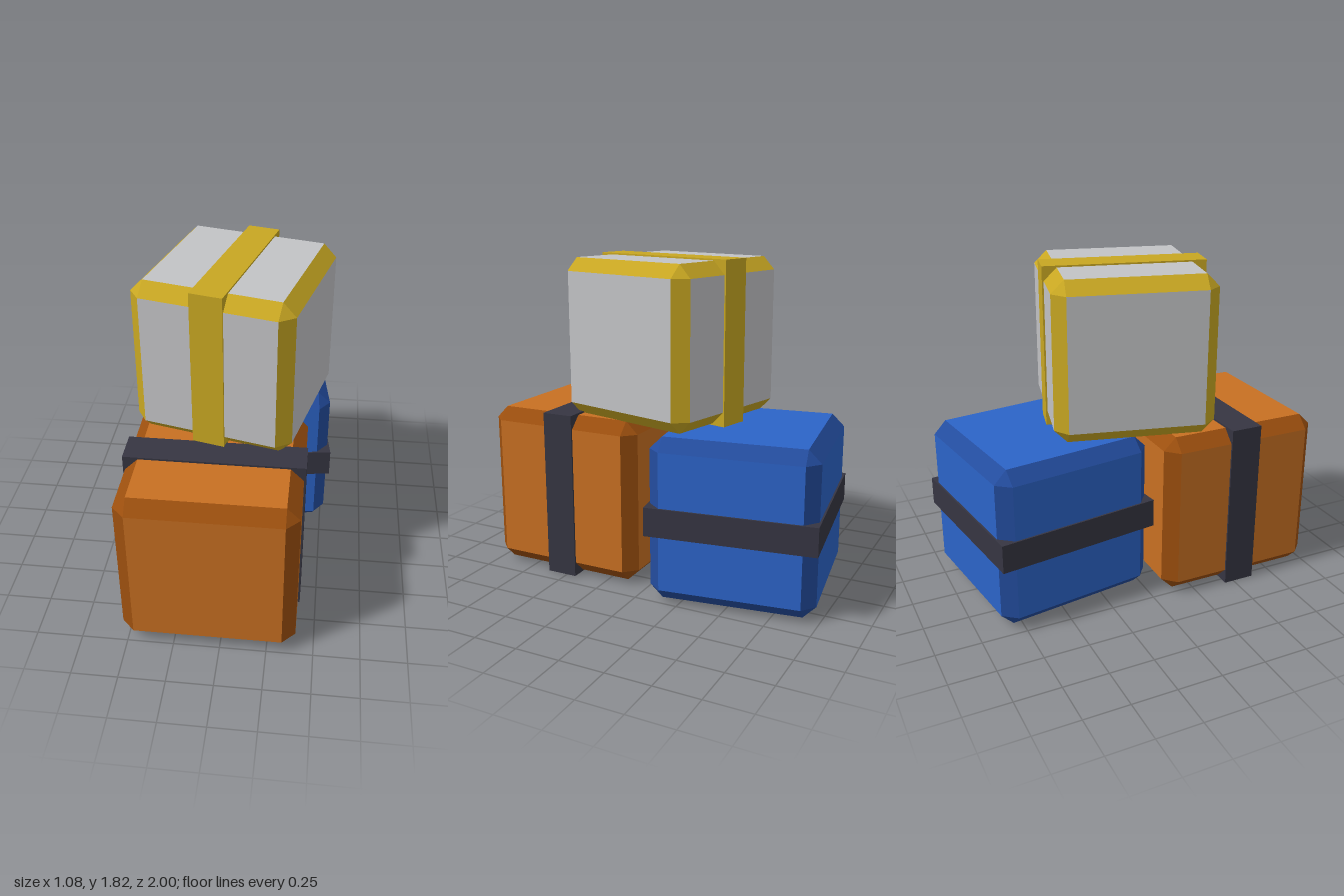
import * as THREE from 'three';

const material = (name, color) => {
  const m = new THREE.MeshStandardMaterial({ color });
  m.name = name;
  return m;
};

// Cube with chamfered edges: group 0 holds the six faces, group 1 the chamfers
function chamferedCube(size, chamfer) {
  const h = size / 2, positions = [];
  // Corner point of the face along the given axis
  const point = (signs, axis) =>
    new THREE.Vector3(...signs.map((s, i) => s * (i === axis ? h : h - chamfer)));
  const triangle = (a, b, c) => {
    const normal = b.clone().sub(a).cross(c.clone().sub(a));
    const outward = normal.dot(a.clone().add(b).add(c)) > 0;
    for (const p of outward ? [a, b, c] : [a, c, b]) positions.push(p.x, p.y, p.z);
  };
  const quad = (a, b, c, d) => { triangle(a, b, c); triangle(a, c, d); };
  const signsFor = (axis, s, t, u) => {
    const v = [0, 0, 0];
    v[axis] = s; v[(axis + 1) % 3] = t; v[(axis + 2) % 3] = u;
    return v;
  };

  // Flat faces
  for (let axis = 0; axis < 3; axis++) for (const s of [-1, 1])
    quad(...[[-1, -1], [1, -1], [1, 1], [-1, 1]].map(([t, u]) => point(signsFor(axis, s, t, u), axis)));
  const faceCount = positions.length / 3;

  // Edge strips, each running along one axis
  for (let axis = 0; axis < 3; axis++) for (const t of [-1, 1]) for (const u of [-1, 1]) {
    const a = signsFor(axis, -1, t, u), b = signsFor(axis, 1, t, u);
    const i = (axis + 1) % 3, j = (axis + 2) % 3;
    quad(point(a, i), point(b, i), point(b, j), point(a, j));
  }
  // Corner triangles
  for (const x of [-1, 1]) for (const y of [-1, 1]) for (const z of [-1, 1])
    triangle(...[0, 1, 2].map((axis) => point([x, y, z], axis)));

  const geometry = new THREE.BufferGeometry();
  geometry.setAttribute('position', new THREE.Float32BufferAttribute(positions, 3));
  geometry.addGroup(0, faceCount, 0);
  geometry.addGroup(faceCount, positions.length / 3 - faceCount, 1);
  geometry.computeVertexNormals();
  return geometry;
}

// One crate with a band wrapped around it
function crate(name, { size, position, turn, bandSize, face, edge, band }) {
  const group = new THREE.Group();
  group.name = name;
  const body = new THREE.Mesh(chamferedCube(size, 0.07), [face, edge]);
  body.name = name + 'Body';
  const strap = new THREE.Mesh(new THREE.BoxGeometry(...bandSize), band);
  strap.name = name + 'Band';
  group.add(body, strap);
  group.position.set(...position);
  group.rotation.y = turn;
  return group;
}

export function createModel() {
  const orange = material('orange', 0xc87022);
  const darkOrange = material('dark orange', 0x9c4f0e);
  const blue = material('blue', 0x2c64c8);
  const darkBlue = material('dark blue', 0x234c9e);
  const silver = material('silver', 0xc2c3c5);
  const gold = material('gold', 0xc8a722);
  const charcoal = material('charcoal', 0x363542);

  const model = new THREE.Group();
  model.name = 'crateStack';
  model.add(
    crate('frontCrate', {
      size: 0.935, position: [-0.066, 0.48, 0.534], turn: 0,
      bandSize: [0.956, 0.956, 0.18], face: orange, edge: darkOrange, band: charcoal,
    }),
    crate('backCrate', {
      size: 0.91, position: [0.015, 0.47, -0.472], turn: 0.14,
      bandSize: [0.93, 0.16, 0.93], face: blue, edge: darkBlue, band: charcoal,
    }),
    crate('topCrate', {
      size: 0.87, position: [-0.009, 1.381, 0.031], turn: -0.24,
      bandSize: [0.175, 0.888, 0.888], face: silver, edge: gold, band: gold,
    }),
  );
  return model;
}
